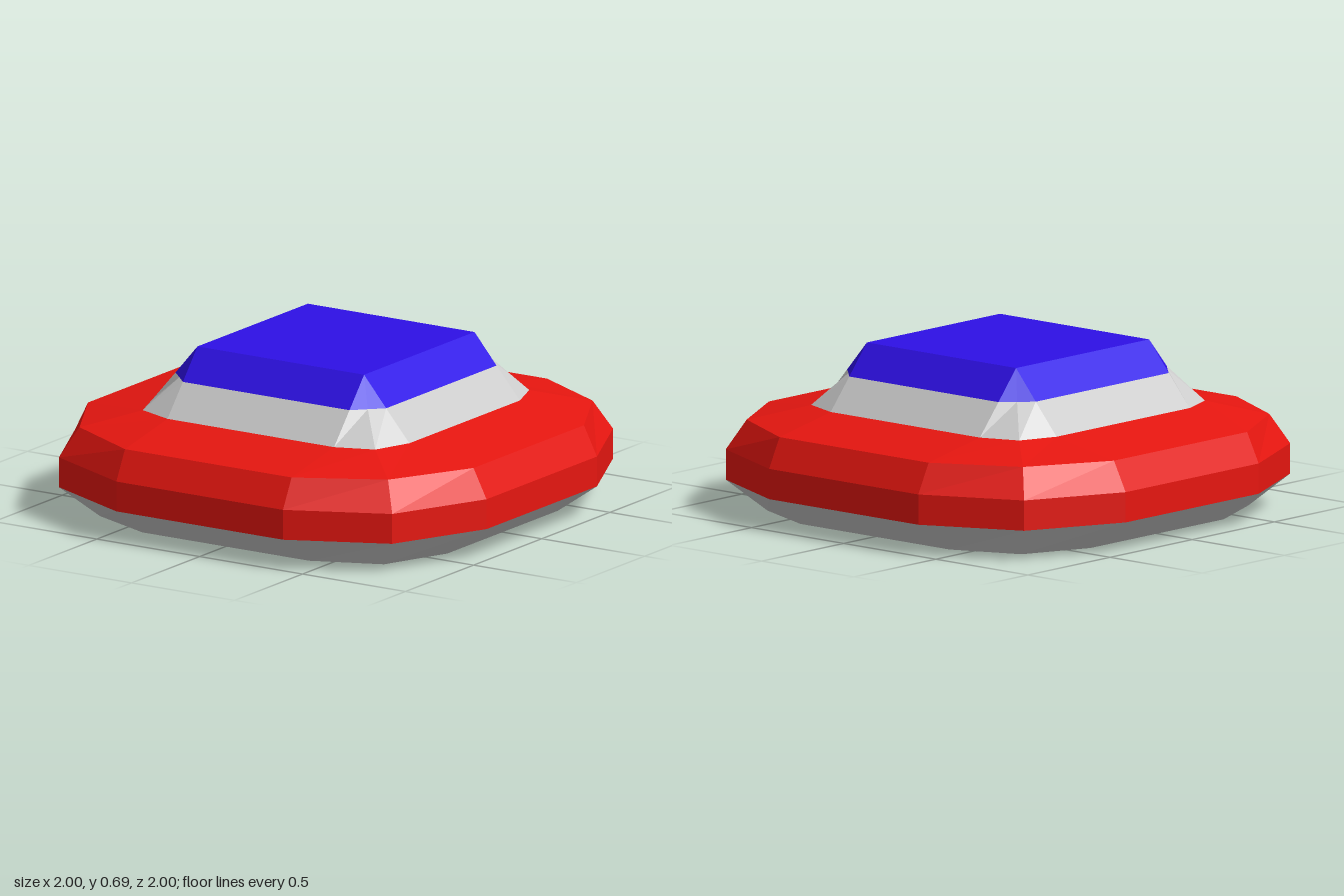
import * as THREE from 'three';

// One level of the hull: a = half width, b = half length of the straight side, c = corner point
const level = (y, a, b, c) => ({ y, a, b, c });

// 12-point ring, running from +x towards +z
function ring({ y, a, b, c }) {
  const points = [];
  const quarter = [[a, -b], [a, b], [c, c]];
  for (let i = 0; i < 4; i++) {
    for (const [x, z] of quarter) points.push(new THREE.Vector3(x, y, z));
    quarter.forEach((p) => p.splice(0, 2, -p[1], p[0]));
  }
  return points;
}

// Faceted shell through the levels, optionally closed below or above
function shell(name, color, levels, { bottom = false, top = false } = {}) {
  const rings = levels.map(ring);
  const positions = [];
  const tri = (p, q, r) => {
    if (new THREE.Triangle(p, q, r).getArea() < 1e-7) return;
    for (const v of [p, q, r]) positions.push(v.x, v.y, v.z);
  };
  const n = 12;
  for (let k = 0; k < rings.length - 1; k++) {
    const lo = rings[k], hi = rings[k + 1];
    for (let i = 0; i < n; i++) {
      const j = (i + 1) % n;
      tri(lo[i], hi[i], lo[j]);
      tri(lo[j], hi[i], hi[j]);
    }
  }
  const cap = (points, up) => {
    const centre = new THREE.Vector3(0, points[0].y, 0);
    points.forEach((p, i) => {
      const q = points[(i + 1) % n];
      if (up) tri(centre, q, p);
      else tri(centre, p, q);
    });
  };
  if (bottom) cap(rings[0], false);
  if (top) cap(rings[rings.length - 1], true);

  const geometry = new THREE.BufferGeometry();
  geometry.setAttribute('position', new THREE.Float32BufferAttribute(positions, 3));
  geometry.computeVertexNormals();
  const mesh = new THREE.Mesh(geometry, new THREE.MeshStandardMaterial({ color, flatShading: true }));
  mesh.name = name;
  return mesh;
}

export function createModel() {
  const group = new THREE.Group();
  group.name = 'roundedSaucer';

  // Levels shared between neighbouring parts
  const baseRim = level(0.13, 1, 0.405, 0.81);
  const collar = level(0.435, 0.625, 0.405, 0.565);
  const sill = level(0.565, 0.512, 0.405, 0.458);

  group.add(
    // Flat-bottomed underside
    shell('underside', 0xcccccc, [level(0, 0.81, 0.405, 0.69), baseRim], { bottom: true }),
    // Wide body with bevelled shoulder
    shell('body', 0xe61610, [
      baseRim,
      level(0.255, 1, 0.405, 0.81),
      level(0.377, 0.937, 0.405, 0.75),
      collar,
    ]),
    // Sloped band around the cabin
    shell('cabinBand', 0xcccccc, [collar, sill]),
    // Square-topped canopy
    shell('canopy', 0x2e10e6, [sill, level(0.69, 0.405, 0.405, 0.405)], { top: true }),
  );
  return group;
}
